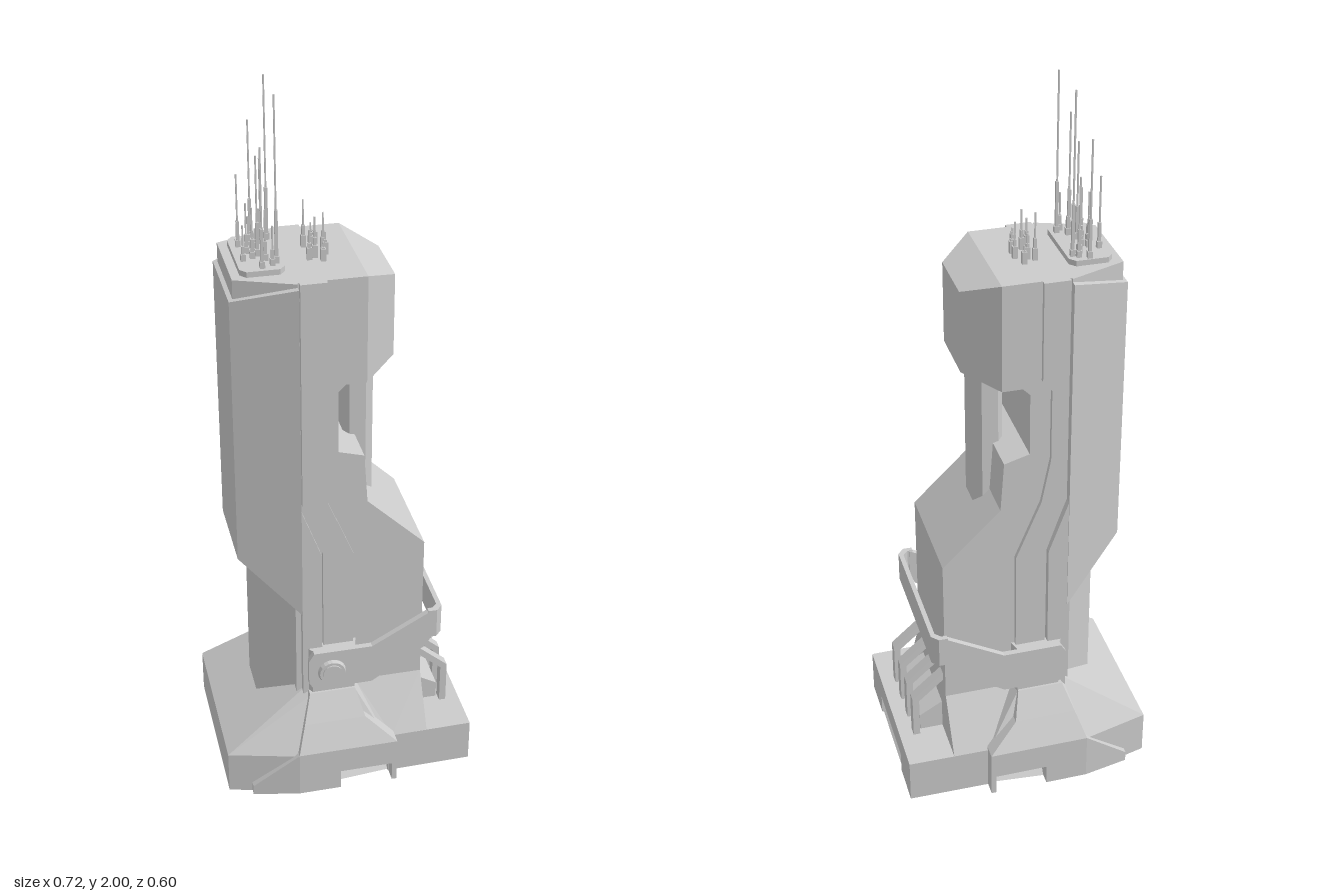
import * as THREE from 'three';

const grey = new THREE.MeshStandardMaterial({ color: 0xcccccc, flatShading: true });
const greyDouble = new THREE.MeshStandardMaterial({ color: 0xcccccc, flatShading: true, side: THREE.DoubleSide });

// Full plan outline from the +z half, given as [x, z] from back to front
const mirrored = (half) => [...half, ...half.slice().reverse().map(([x, z]) => [x, -z])];

// Skin a stack of rings of [x, y, z]; ends capped with fans
function loft(rings, capBottom = true, capTop = true) {
  const n = rings[0].length, pos = rings.flat(2), idx = [];
  for (let r = 0; r < rings.length - 1; r++) {
    for (let i = 0; i < n; i++) {
      const a = r * n + i, b = r * n + (i + 1) % n;
      idx.push(a, b, b + n, a, b + n, a + n);
    }
  }
  const t = (rings.length - 1) * n;
  for (let i = 1; i < n - 1; i++) {
    if (capBottom) idx.push(0, i + 1, i);
    if (capTop) idx.push(t, t + i, t + i + 1);
  }
  const g = new THREE.BufferGeometry();
  g.setAttribute('position', new THREE.Float32BufferAttribute(pos, 3));
  g.setIndex(idx);
  const flat = g.toNonIndexed();
  flat.computeVertexNormals();
  return flat;
}

// Upright prism whose bottom and top heights may depend on x
const ring = (plan, y) => plan.map(([x, z]) => [x, typeof y === 'function' ? y(x) : y, z]);
const prism = (half, y0, y1) => loft([ring(mirrored(half), y0), ring(mirrored(half), y1)]);

// Side profile in x, y extruded from z0 to z1
function slab(points, z0, z1) {
  const shape = new THREE.Shape(points.map((p) => new THREE.Vector2(...p)));
  return new THREE.ExtrudeGeometry(shape, { depth: z1 - z0, bevelEnabled: false }).translate(0, 0, z0);
}

// Copy reflected across z = 0 with its winding restored
function mirrorZ(geo) {
  const g = geo.index ? geo.toNonIndexed() : geo.clone();
  const p = g.attributes.position;
  for (let i = 0; i < p.count; i += 3) {
    const v = [0, 2, 1].map((k) => new THREE.Vector3().fromBufferAttribute(p, i + k));
    v.forEach((q, k) => p.setXYZ(i + k, q.x, q.y, -q.z));
  }
  g.computeVertexNormals();
  return g;
}

export function createModel() {
  const model = new THREE.Group();
  // The whole tower stands very slightly turned
  const tower = new THREE.Group();
  tower.name = 'tower';
  tower.rotation.y = 0.0225;
  model.add(tower);
  const add = (name, geo, mat = grey, parent = tower) => {
    const m = new THREE.Mesh(geo, mat);
    m.name = name;
    parent.add(m);
  };
  const addPair = (name, geo) => {
    add(name + 'Front', geo);
    add(name + 'Rear', mirrorZ(geo));
  };

  // Base walls: one per plan edge, some with a notch at the ground
  const wall = (name, [ax, az], [bx, bz], notch, depth = 0.015) => {
    const len = Math.hypot(bx - ax, bz - az);
    const pts = [[0, 0]];
    if (notch) pts.push([notch[0], 0], [notch[0], 0.06], [notch[1], 0.06], [notch[1], 0]);
    pts.push([len, 0], [len, 0.13], [0, 0.13]);
    const g = slab(pts, -depth, 0);
    g.rotateY(-Math.atan2(bz - az, bx - ax)).translate(ax, 0, az);
    return [name, g];
  };
  addPair(...wall('baseCornerWall', [-0.354, 0.235], [-0.16, 0.285]));
  addPair(...wall('baseSideWall', [-0.16, 0.285], [0.12, 0.256], [0.12, 0.27]));
  addPair(...wall('baseEndWall', [0.12, 0.256], [0.352, 0.253]));
  add(...wall('baseRightWall', [0.352, 0.253], [0.352, -0.253], [0.121, 0.385], 0.05));
  add(...wall('baseLeftWall', [-0.354, -0.235], [-0.354, 0.235]));
  add('baseDeck', prism([[0.2, 0.254], [0.352, 0.253]], 0.115, 0.13));

  // Hollow underside sloping up to the middle
  const foot = mirrored([[-0.348, 0.23], [-0.16, 0.275], [0.12, 0.25], [0.347, 0.248]]);
  add('baseUnderside', loft([ring(foot, 0), ring(foot.map(([x, z]) => [x * 0.4, z * 0.4]), 0.19)], false), greyDouble);

  // Sloping skirt from the base up to the tower
  const skirtLow = mirrored([[-0.354, 0.235], [-0.16, 0.285], [0.1, 0.258], [0.12, 0.256], [0.222, 0.254]]);
  const skirtHigh = mirrored([[-0.12, 0.17], [-0.1, 0.2], [0.02, 0.2], [0.03, 0.166], [0.222, 0.166]]);
  add('baseSkirt', loft([ring(skirtLow, 0.13), ring(skirtHigh, 0.28)], false, false), greyDouble);
  add('neck', prism([[-0.12, 0.17], [-0.1, 0.2], [0.02, 0.2], [0.03, 0.166]], 0.28, 0.43));

  // Armour plates lying over the base and skirt on both sides
  addPair('basePlate', slab([[-0.16, 0], [-0.04, 0], [-0.04, 0.06], [0.11, 0.06], [0.11, 0], [0.124, 0],
    [0.124, 0.14], [-0.16, 0.14]], 0.235, 0.295));
  const wedge = slab([[-0.29, 0], [-0.16, 0], [-0.16, 0.14], [-0.29, 0.03]], 0.258, 0.295);
  const wp = wedge.attributes.position;
  for (let i = 0; i < wp.count; i++) wp.setZ(i, wp.getZ(i) + 0.2 * (wp.getX(i) + 0.16));
  wedge.computeVertexNormals();
  addPair('basePlateWedge', wedge);
  addPair('skirtPlate', loft([
    ring([[-0.16, 0.295], [0.124, 0.295], [0.124, 0.22], [-0.16, 0.22]], 0.14),
    ring([[-0.135, 0.252], [0.04, 0.252], [0.04, 0.18], [-0.135, 0.18]], 0.213),
    ring([[-0.11, 0.206], [0.02, 0.206], [0.02, 0.16], [-0.11, 0.16]], 0.285)]));

  // Tower core with sloped shoulder, step and slot
  add('towerCore', slab([[-0.14, 0.22], [0.222, 0.12], [0.222, 0.727], [0.06, 0.885], [0.05, 1.03], [-0.02, 1.05],
    [-0.02, 1.23], [0, 1.25], [0.055, 1.25], [0.055, 1.55], [-0.14, 1.55]], -0.165, 0.165));

  // Head: chamfered nose overhanging the slot, recessed underneath
  const headOuter = mirrored([[0.055, 0.165], [0.144, 0.087]]);
  const headInner = mirrored([[0.055, 0.145], [0.13, 0.077]]);
  const headFloor = (x) => 1.25 + (x - 0.055) * 0.34;
  add('head', loft([ring(headInner, 1.32), ring(headInner, headFloor), ring(headOuter, headFloor),
    ring(headOuter, (x) => 1.55 - (x - 0.055) * 0.45)]));

  // Faceted upright pipe below the head
  add('pipe', prism([[0.02, 0.04], [0.035, 0.055], [0.08, 0.055], [0.103, 0.036]], 0.8, 1.34));

  // Raised stepped strips on the tower sides
  addPair('sideStrip', slab([[-0.12, 1.55], [-0.12, 0.9], [-0.065, 0.74], [-0.065, 0.42], [0.02, 0.42],
    [0.02, 0.73], [-0.05, 0.9], [-0.075, 1.03], [-0.075, 1.24], [-0.05, 1.27], [-0.05, 1.55]], 0.16, 0.178));
  addPair('sideFiller', slab([[-0.125, 0.25], [-0.07, 0.25], [-0.07, 0.74], [-0.125, 0.89]], 0.16, 0.186));

  // Back shell, its inner top and the column under it
  add('backShell', prism([[-0.289, 0.122], [-0.125, 0.189]],
    (x) => 0.72 - (x + 0.289) * 1.03, (x) => 1.495 + (x + 0.289) * 0.28));
  add('backTop', prism([[-0.278, 0.113], [-0.125, 0.172]], 1.4, 1.55));
  add('backColumn', prism([[-0.238, 0.055], [-0.12, 0.15]], 0.17, 0.75));

  // Belt: two bent arms joined by a bar around the tower
  addPair('beltArm', slab([[-0.1, 0.31], [0.065, 0.312], [0.22, 0.412], [0.235, 0.44], [0.235, 0.53], [0.065, 0.435],
    [-0.1, 0.435], [-0.115, 0.41], [-0.115, 0.335]], 0.203, 0.22));
  const bar = mirrored([[0.225, 0.22], [0.25, 0.22], [0.268, 0.2]])
    .concat([[0.225, -0.206], [0.24, -0.206], [0.255, -0.19], [0.255, 0.19], [0.24, 0.206], [0.225, 0.206]]);
  add('beltBar', slab(bar, 0, 0.09).rotateX(-Math.PI / 2).translate(0, 0.44, 0));

  // Round knob with a raised centre on the front belt arm
  const knob = (name, top, bottom, z) => add(name,
    new THREE.CylinderGeometry(top, bottom, 0.02, 20).rotateX(Math.PI / 2).translate(-0.05, 0.367, z));
  knob('knob', 0.036, 0.044, 0.22);
  knob('knobCap', 0.028, 0.028, 0.224);

  // Bent struts and the block behind them
  for (const z of [-0.12, -0.04, 0.04, 0.12]) {
    add('strut', slab([[0.21, 0.35], [0.312, 0.26], [0.312, 0.12], [0.293, 0.12], [0.293, 0.252], [0.21, 0.325]],
      z - 0.015, z + 0.015));
  }
  add('strutBlock', slab([[0.21, 0.12], [0.288, 0.12], [0.288, 0.18], [0.21, 0.225]], -0.115, 0.115));

  // Antenna deck and antennas: x, z, tip height
  add('antennaDeck', prism([[-0.255, 0.09], [-0.24, 0.108], [-0.155, 0.108], [-0.14, 0.09]], 1.54, 1.565));
  const masts = [
    [-0.195, -0.093, 1.88], [-0.17, -0.082, 1.78], [-0.156, -0.072, 2], [-0.18, -0.05, 1.66], [-0.235, -0.042, 1.76],
    [-0.21, -0.03, 1.65], [-0.195, -0.02, 1.62], [-0.22, 0.002, 1.7], [-0.195, 0.022, 1.83], [-0.21, 0.034, 1.7],
    [-0.235, 0.045, 1.66], [-0.18, 0.052, 1.7], [-0.155, 0.072, 2], [-0.167, 0.084, 1.67], [-0.195, 0.095, 1.88],
    [-0.035, -0.055, 1.6], [-0.067, -0.04, 1.68], [-0.05, -0.03, 1.62], [-0.02, -0.018, 1.65],
    [-0.02, 0.013, 1.61], [-0.05, 0.028, 1.66], [-0.066, 0.038, 1.63], [-0.033, 0.052, 1.6]];
  for (const [x, z, top] of masts) {
    const antenna = new THREE.Group();
    antenna.name = 'antenna';
    const low = 1.58 + (top - 1.58) * 0.3;
    for (const [name, width, tip] of [['antennaFoot', 0.013, 1.583], ['antennaStem', 0.008, low], ['antennaRod', 0.004, top]]) {
      add(name, new THREE.BoxGeometry(width, tip - 1.55, width).translate(x, (tip + 1.55) / 2, z), grey, antenna);
    }
    model.add(antenna);
  }
  return model;
}
